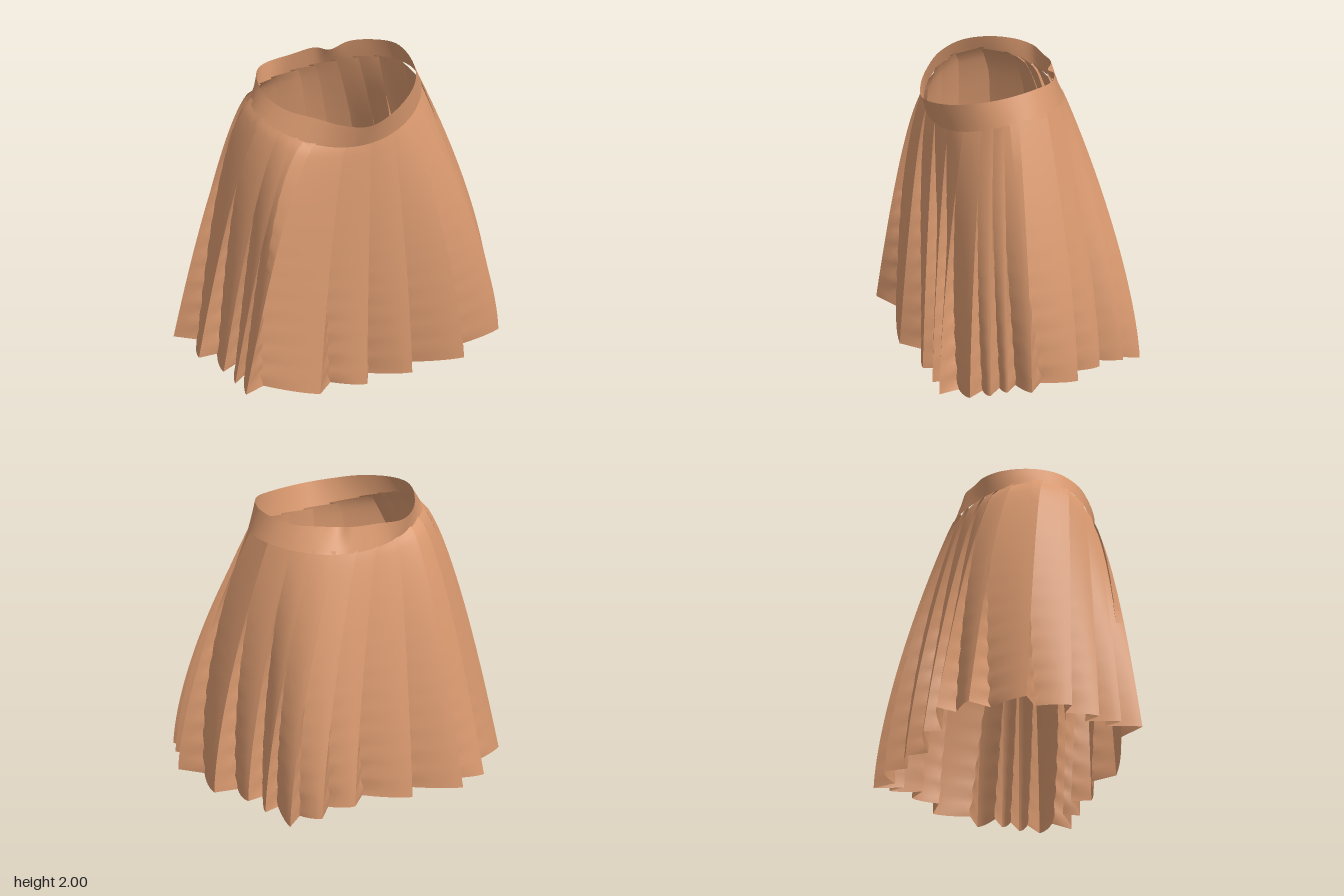
import * as THREE from 'three';

const V = (x, y, z) => new THREE.Vector3(x, y, z);

// Outer fold of every pleat at the hem: x, height, z, and how far each pleat opens there
// as a share of the way to the next (front, then round by the left side and back)
const HEM = [
  [-0.06, 0, 0.56, 0.2], [0.23, 0.03, 0.61, 0.2], [0.55, 0.09, 0.69, 0.2], [0.84, 0.17, 0.6, 0.2],
  [0.88, 0.18, 0.48, 0.2], [0.89, 0.19, 0.37, 0.2], [0.97, 0.2, 0.24, 0.2], [0.88, 0.19, -0.1, 0.2],
  [0.74, 0.2, -0.3, 0.22], [0.7, 0.2, -0.47, 0.22], [0.6, 0.15, -0.62, 0.22], [0.39, 0.17, -0.64, 0.22],
  [0.15, 0.18, -0.6, 0.22], [-0.22, 0.18, -0.64, 0.22], [-0.54, 0.2, -0.69, 0.22], [-0.74, 0.18, -0.56, 0.22],
  [-0.97, 0.17, -0.27, 0.2], [-0.96, 0.17, 0.04, 0.1], [-0.9, 0.16, 0.25, 0], [-0.9, 0.15, 0.4, 0],
  [-0.9, 0.14, 0.54, 0.12], [-0.4, 0.03, 0.58, 0.22],
];

// Uneven upper rim of the waistband
const RIM = [
  [-0.04, 1.83, 0.57], [0.2, 1.87, 0.5], [0.38, 1.93, 0.37], [0.455, 1.97, 0.2],
  [0.45, 2, 0], [0.36, 1.99, -0.13], [0.22, 1.98, -0.2], [0.09, 1.95, -0.21],
  [0.02, 1.96, -0.26], [-0.15, 1.95, -0.27], [-0.32, 1.94, -0.27], [-0.42, 1.95, -0.2],
  [-0.5, 1.96, -0.05], [-0.53, 1.95, 0.12], [-0.48, 1.92, 0.28], [-0.34, 1.89, 0.42],
  [-0.2, 1.85, 0.52],
];

// Lower edge of the waistband at angle a (0 = front, growing toward +x)
const waist = (a, k = 1) => V(
  -0.03 + 0.56 * k * Math.sin(a),
  1.785 - 0.065 * Math.cos(a) - 0.05 * Math.cos(2 * a),
  0.1 + 0.41 * k * Math.cos(a));

// Smooth sheet from a point rule f(u, v), with u running round and v running up
function sheet(f, nu, nv) {
  const pos = [], idx = [];
  for (let j = 0; j <= nv; j++) {
    for (let i = 0; i <= nu; i++) pos.push(...f(i / nu, j / nv).toArray());
  }
  for (let j = 0; j < nv; j++) {
    for (let i = 0; i < nu; i++) {
      const a = j * (nu + 1) + i, b = a + 1, c = a + nu + 1, d = c + 1;
      idx.push(a, b, d, a, d, c);
    }
  }
  const g = new THREE.BufferGeometry();
  g.setAttribute('position', new THREE.Float32BufferAttribute(pos, 3));
  g.setIndex(idx);
  g.computeVertexNormals();
  return g;
}

export function createModel() {
  const cloth = new THREE.MeshStandardMaterial({ color: 0xd9996f, side: THREE.DoubleSide });
  cloth.name = 'tan cloth';
  const skirt = new THREE.Group();
  skirt.name = 'pleatedSkirt';
  const add = (parent, name, geometry) => {
    const m = new THREE.Mesh(geometry, cloth);
    m.name = name;
    parent.add(m);
  };

  // Waistband
  const rim = new THREE.CatmullRomCurve3(RIM.map((p) => V(...p)), true, 'centripetal');
  add(skirt, 'waistband', sheet((u, v) => {
    const top = rim.getPoint(u % 1);
    const a = Math.atan2((top.x + 0.03) / 0.5, (top.z - 0.13) / 0.42);
    return waist(a).lerp(top, v);
  }, 102, 4));

  // Pleat folds: seams spread evenly at the waist, drawn toward their hem tips at the sides
  const n = HEM.length;
  const folds = HEM.map(([x, y, z, open], i) => {
    const even = 0.05 + (i / n) * 2 * Math.PI;
    const off = Math.atan2(x / 0.95, z / 0.63) + 0.15 - even;
    const pull = 0.35 + 0.45 * Math.sin(even) ** 2;
    return {
      hem: V(x, y, z), open,
      a: even + pull * Math.atan2(Math.sin(off), Math.cos(off)),
      inward: V(-x, 0, -z * 1.5).normalize(),
    };
  });

  // Outer fold, v = 0 at the hem and 1 under the band; back and right flare sooner at the hips
  const tip = ({ hem, a }, v) => {
    const top = waist(a, 0.985);
    const side = THREE.MathUtils.clamp(0.4 + 0.8 * hem.x, 0, 1);
    const flare = THREE.MathUtils.lerp(Math.pow(1 - v, 0.65), 1 - Math.pow(v, 1.55), side);
    const p = top.clone().lerp(hem, flare);
    p.y = THREE.MathUtils.lerp(hem.y, top.y + 0.02, v);
    return p;
  };
  // Inner fold: open at the hem, tucked behind the outer fold higher up, edge slightly rippled
  const depth = (v) => 0.03 + 0.09 * (1 - v);
  const tuck = (i, v) => {
    const p = tip(folds[i], v);
    const share = folds[i].open - 0.55 * v + 0.03 * (1 - v) * Math.sin(v * 70 + i);
    return p.lerp(tip(folds[(i + 1) % n], v), share);
  };

  // Pleats: a broad panel rising from the last inner fold, and a turned-under strip
  folds.forEach((fold, i) => {
    const pleat = new THREE.Group();
    pleat.name = 'pleat' + (i + 1);
    const last = (i + n - 1) % n;
    add(pleat, 'panel', sheet((u, v) => tuck(last, v).lerp(tip(fold, v), u)
      .addScaledVector(folds[last].inward, depth(v) * Math.pow(1 - u, 1.4)), 7, 36));
    add(pleat, 'underFold', sheet((u, v) => tip(fold, v).lerp(tuck(i, v), u)
      .addScaledVector(fold.inward, depth(v) * u), 3, 36));
    skirt.add(pleat);
  });
  return skirt;
}
